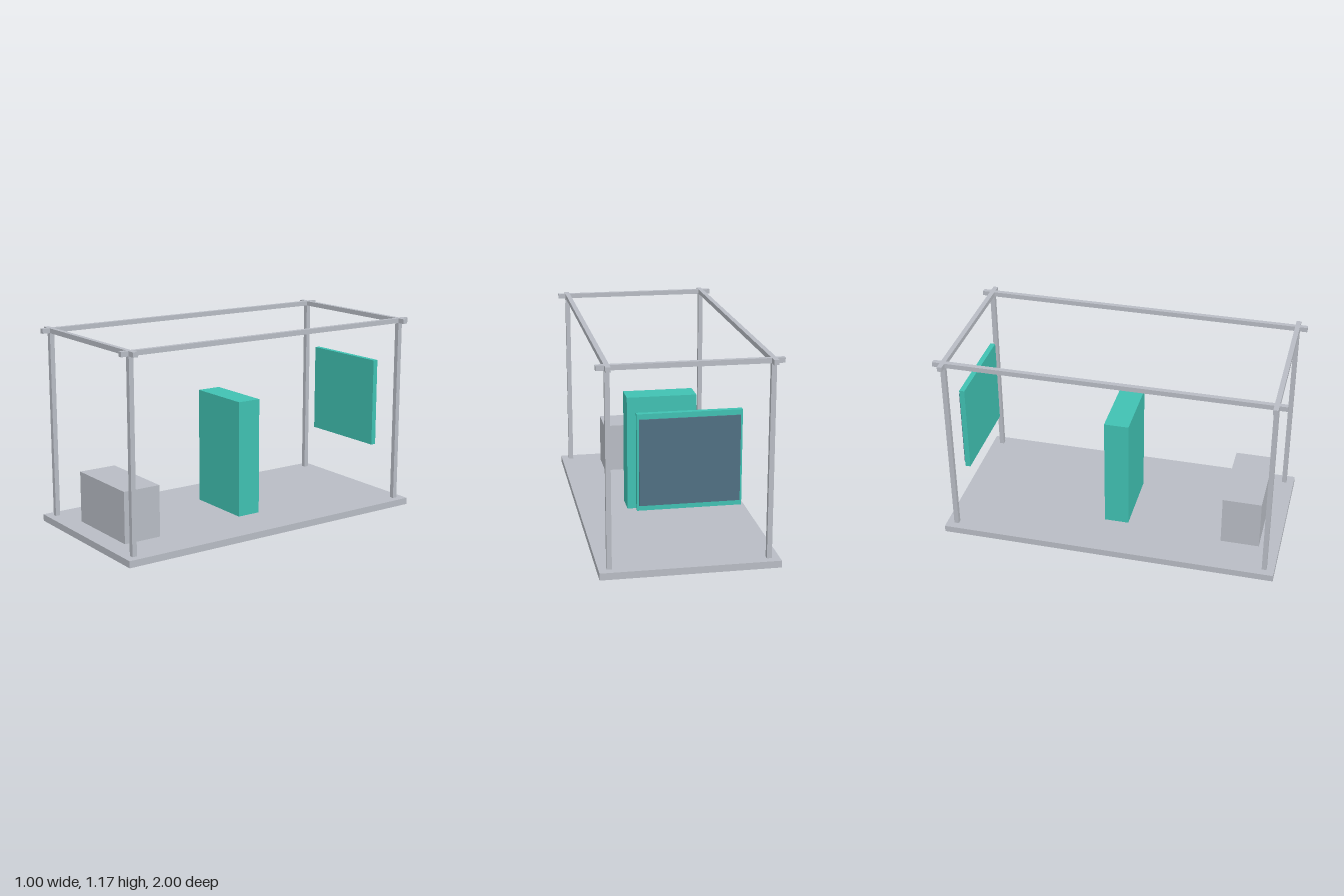
import * as THREE from 'three';

export function createModel() {
  const grey = new THREE.MeshStandardMaterial({ color: 0xb8bcc4 });
  grey.name = 'light grey';
  const teal = new THREE.MeshStandardMaterial({ color: 0x40c1b2 });
  teal.name = 'teal';
  const slate = new THREE.MeshStandardMaterial({ color: 0x507082 });
  slate.name = 'slate blue';

  const model = new THREE.Group();
  model.name = 'boothStand';

  // Box given by its minimum and maximum on each axis
  function box(name, material, [x0, x1], [y0, y1], [z0, z1]) {
    const geometry = new THREE.BoxGeometry(x1 - x0, y1 - y0, z1 - z0);
    const mesh = new THREE.Mesh(geometry, material);
    mesh.position.set((x0 + x1) / 2, (y0 + y1) / 2, (z0 + z1) / 2);
    mesh.name = name;
    model.add(mesh);
  }
  const around = (centre, size) => [centre - size / 2, centre + size / 2];

  // Floor slab
  const floorTop = 0.04;
  box('floor', grey, [-0.5, 0.5], [0, floorTop], [-1, 1]);

  // Open frame: four posts and overhanging top rails that cross at the corners
  const bar = 0.028, postX = 0.441, postZ = 0.941, top = 1.167;
  const railY = [top - bar, top];
  for (const side of [-1, 1]) {
    for (const end of [-1, 1]) {
      box('post', grey, around(side * postX, bar), [floorTop, top - bar], around(end * postZ, bar));
    }
    box('sideRail', grey, around(side * postX, bar), railY, [-1, 1]);
    box('crossRail', grey, [-0.5, 0.5], railY, around(side * postZ, bar));
  }

  // Low counter at the front and tall cabinet in the middle
  box('counter', grey, [-0.25, 0.248], [floorTop, 0.343], [0.65, 0.88]);
  box('cabinet', teal, [-0.21, 0.208], [floorTop, 0.735], [-0.072, 0.074]);

  // Hanging display at the back, with its screen facing outward
  box('displayPanel', teal, [-0.285, 0.283], [0.352, 0.887], [-0.921, -0.89]);
  box('displayScreen', slate, [-0.274, 0.272], [0.38, 0.858], [-0.928, -0.921]);

  return model;
}
